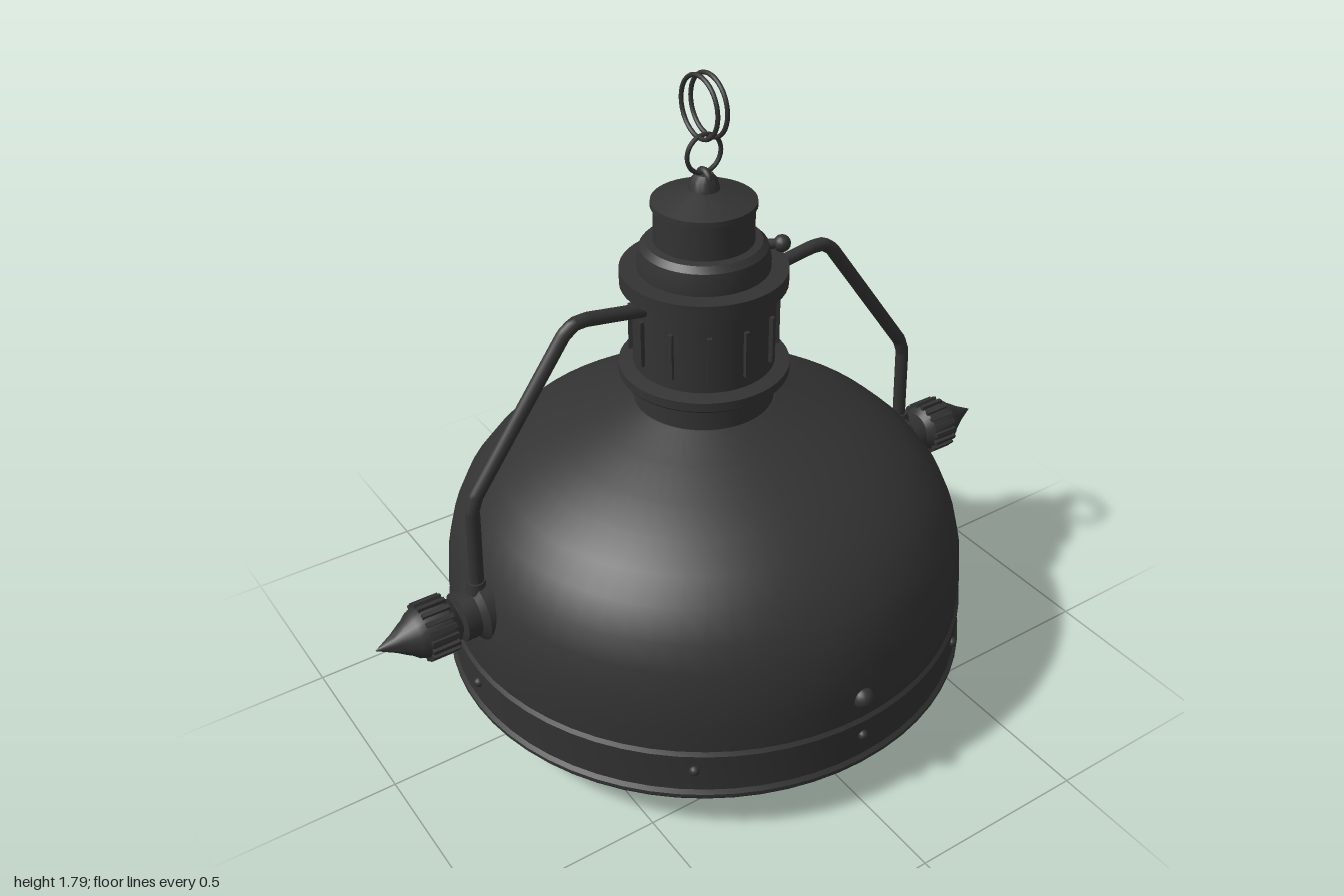
import * as THREE from 'three';
import { toCreasedNormals } from 'three/addons/utils/BufferGeometryUtils.js';

const iron = new THREE.MeshStandardMaterial({ color: 0x333333 });
iron.name = 'dark iron';

function add(parent, name, geometry, x = 0, y = 0, z = 0) {
  const mesh = new THREE.Mesh(geometry, iron);
  mesh.name = name;
  mesh.position.set(x, y, z);
  parent.add(mesh);
  return mesh;
}

// Turned part from [radius, height] pairs, listed upwards on the outside
function lathe(profile, segments = 48) {
  const points = profile.map(([r, y]) => new THREE.Vector2(r, y));
  return toCreasedNormals(new THREE.LatheGeometry(points, segments), 0.5);
}

// Bent bracket rod, spike and socket for the +x side
function createSide() {
  const side = new THREE.Group();
  const points = [
    [0.17, 1.2], [0.35, 1.228], [0.385, 1.226], [0.415, 1.205],
    [0.685, 0.83], [0.7, 0.79], [0.708, 0.53],
  ].map(([x, y]) => new THREE.Vector3(x, y, 0));
  const path = new THREE.CurvePath();
  for (let i = 1; i < points.length; i++) path.add(new THREE.LineCurve3(points[i - 1], points[i]));
  add(side, 'bracketArm', new THREE.TubeGeometry(path, 90, 0.019, 10));
  add(side, 'bracketFoot', new THREE.CylinderGeometry(0.024, 0.03, 0.03, 14), 0.71, 0.555);

  const finial = new THREE.Group();
  finial.name = 'sideFinial';
  finial.position.y = 0.475;
  finial.rotation.z = -Math.PI / 2;
  side.add(finial);
  add(finial, 'finialMount', lathe([
    [0, 0.66], [0.085, 0.66], [0.085, 0.715], [0.066, 0.73], [0.066, 0.77], [0.045, 0.775], [0.045, 0.81], [0, 0.81],
  ], 24));
  add(finial, 'finialCrown', lathe([
    [0, 0.78], [0.055, 0.782], [0.07, 0.805], [0.072, 0.865], [0.062, 0.895], [0.048, 0.912],
    [0.044, 0.92], [0.025, 0.95], [0, 1],
  ], 24));
  for (let i = 0; i < 18; i++) {
    const a = (i / 18) * Math.PI * 2;
    const rib = add(finial, 'crownRib', new THREE.BoxGeometry(0.014, 0.075, 0.012),
      Math.cos(a) * 0.073, 0.838, Math.sin(a) * 0.073);
    rib.rotation.y = -a;
  }
  return side;
}

export function createModel() {
  const lamp = new THREE.Group();
  lamp.name = 'pendantLamp';

  // Hollow dome: outside upwards, then back down the inside
  add(lamp, 'domeShade', lathe([
    [0.7, 0.13], [0.73, 0.13], [0.737, 0.14], [0.737, 0.15], [0.728, 0.16], [0.73, 0.275], [0.722, 0.285],
    [0.724, 0.36], [0.717, 0.44], [0.698, 0.52], [0.668, 0.59], [0.62, 0.655], [0.56, 0.712],
    [0.48, 0.765], [0.4, 0.807], [0.3, 0.85], [0.19, 0.895], [0.15, 0.89],
    [0, 0.875], [0.19, 0.87], [0.3, 0.825], [0.47, 0.745], [0.6, 0.64], [0.67, 0.53],
    [0.7, 0.4], [0.705, 0.28], [0.7, 0.13],
  ], 64));

  // Neck, flanges and cap
  add(lamp, 'neckTube', lathe([[0.187, 0.87], [0.187, 1.25]]));
  add(lamp, 'lowerFlange', lathe([
    [0.18, 0.968], [0.222, 0.97], [0.226, 0.975], [0.226, 1], [0.2, 1.005], [0.18, 1.008],
  ]));
  add(lamp, 'upperFlange', lathe([
    [0.18, 1.23], [0.218, 1.232], [0.218, 1.275], [0.172, 1.277], [0.172, 1.3], [0.165, 1.335],
    [0.15, 1.35], [0.13, 1.353], [0.129, 1.445], [0.136, 1.447], [0.135, 1.46],
    [0.04, 1.49], [0.034, 1.515], [0.022, 1.53], [0, 1.532],
  ]));
  for (let i = 0; i < 12; i++) {
    const a = (i / 12) * Math.PI * 2;
    const fin = add(lamp, 'neckFin', new THREE.BoxGeometry(0.02, 0.13, 0.012),
      Math.cos(a) * 0.188, 1.105, Math.sin(a) * 0.188);
    fin.rotation.y = -a;
  }

  // Small thumb screw on the collar
  const screw = new THREE.Group();
  screw.name = 'thumbScrew';
  screw.rotation.y = -0.47;
  lamp.add(screw);
  add(screw, 'screwStem', new THREE.CylinderGeometry(0.013, 0.013, 0.06, 12), 0.17, 1.325).rotation.z = Math.PI / 2;
  add(screw, 'screwHead', new THREE.SphereGeometry(0.023, 16, 10), 0.2, 1.325);

  // Hanging eye and chain links
  add(lamp, 'hangingEye', new THREE.TorusGeometry(0.023, 0.009, 8, 24), 0, 1.515).rotation.y = Math.PI / 2;
  add(lamp, 'smallLink', new THREE.TorusGeometry(0.05, 0.006, 8, 32), 0, 1.582);
  for (const x of [-0.014, 0.014]) {
    add(lamp, 'largeLink', new THREE.TorusGeometry(0.079, 0.006, 8, 36), x, 1.705).rotation.y = Math.PI / 2;
  }

  // Rivets around the rim band, larger bolts front and back
  for (const deg of [0, 36, 144, 180, 216, 324, 90, 270]) {
    const a = THREE.MathUtils.degToRad(deg);
    add(lamp, 'rimRivet', new THREE.SphereGeometry(0.014, 12, 8), Math.sin(a) * 0.73, 0.23, Math.cos(a) * 0.73);
  }
  for (const s of [-1, 1]) {
    add(lamp, 'domeBolt', new THREE.SphereGeometry(0.03, 16, 12), 0, 0.352, s * 0.719);
  }

  // Wire guard ring with its rods
  add(lamp, 'guardRing', new THREE.TorusGeometry(0.47, 0.004, 6, 64), 0.01, 0.006).rotation.x = Math.PI / 2;
  for (const [x, z] of [[-0.37, 0.27], [-0.145, -0.44], [0.235, -0.41], [0.395, 0.27]]) {
    add(lamp, 'guardRod', new THREE.CylinderGeometry(0.004, 0.004, 0.3, 8), x, 0.153, z);
  }

  // Matching brackets and finials on both sides
  for (const [name, turn] of [['leftBracket', 0], ['rightBracket', Math.PI]]) {
    const side = createSide();
    side.name = name;
    side.rotation.y = turn;
    lamp.add(side);
  }
  return lamp;
}
